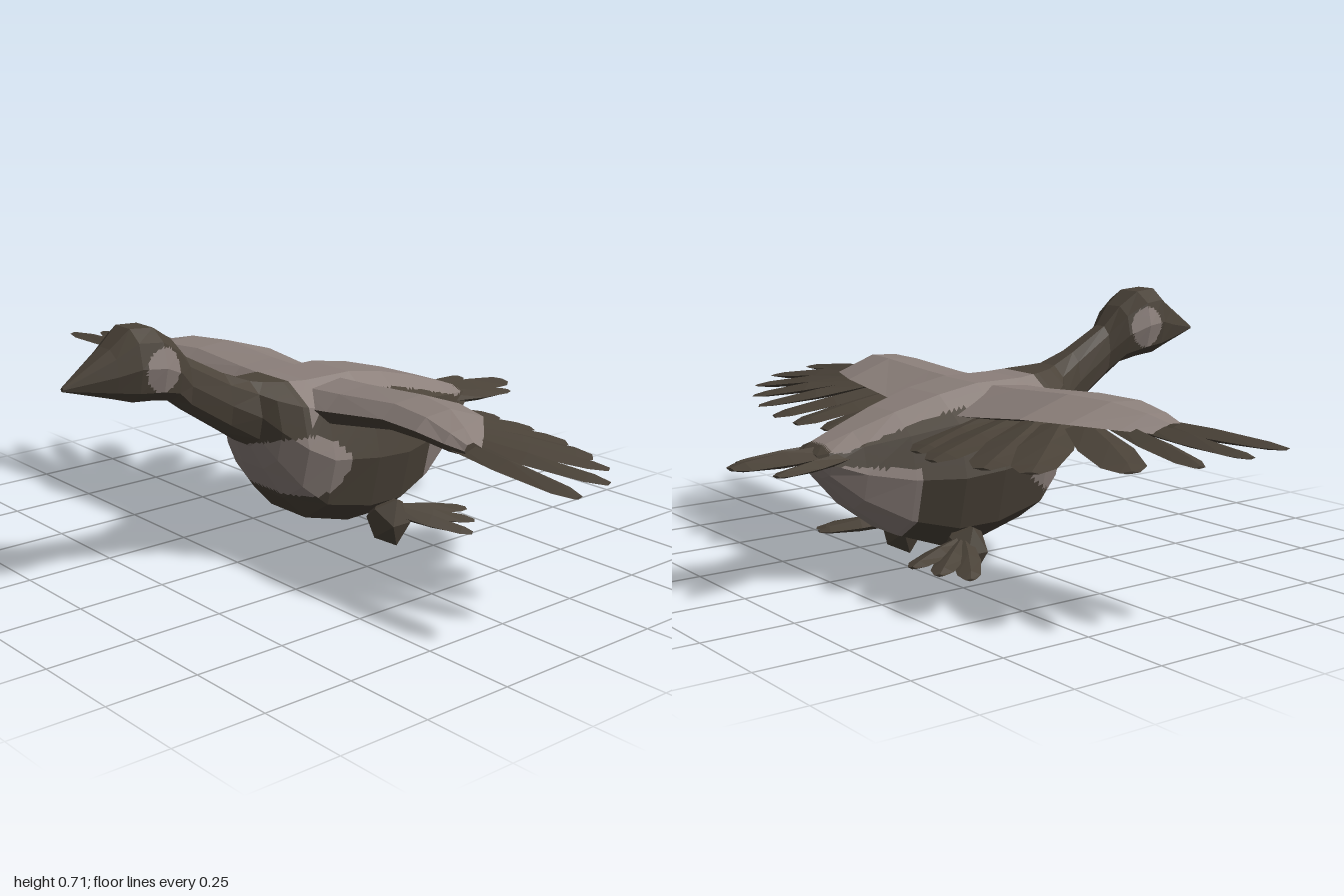
import * as THREE from 'three';

const V = (x, y, z) => new THREE.Vector3(x, y, z);
const darkPlumage = new THREE.MeshStandardMaterial({ color: 0x4a4238 });
const palePlumage = new THREE.MeshStandardMaterial({ color: 0x8b7f7a });
darkPlumage.name = 'darkPlumage';
palePlumage.name = 'palePlumage';

// Closed faceted skin through rings of points; returns outward-facing triangles.
function loft(rings) {
  const tris = [], n = rings[0].length;
  const mid = r => r.reduce((a, p) => a.add(p), V(0, 0, 0)).divideScalar(n);
  const first = rings[0], last = rings[rings.length - 1];
  for (let j = 0; j < n; j++) {
    const k = (j + 1) % n;
    for (let i = 0; i + 1 < rings.length; i++) {
      const a = rings[i], b = rings[i + 1];
      tris.push([a[j], a[k], b[j]], [a[k], b[k], b[j]]);
    }
    tris.push([mid(first), first[k], first[j]], [mid(last), last[j], last[k]]);
  }
  const volume = tris.reduce((s, [a, b, c]) => s + a.dot(b.clone().cross(c)), 0);
  return volume < 0 ? tris.map(([a, b, c]) => [a, c, b]) : tris;
}

// Splits each flat triangle in four.
function split(tris) {
  return tris.flatMap(([a, b, c]) => {
    const ab = a.clone().lerp(b, 0.5), bc = b.clone().lerp(c, 0.5), ca = c.clone().lerp(a, 0.5);
    return [[a, ab, ca], [ab, b, bc], [ca, bc, c], [ab, bc, ca]];
  });
}

// Flat-shaded mesh; isPale(centre, normal) picks the colour of each face.
function facetMesh(name, tris, isPale = () => false) {
  const sets = [[], []];
  for (const t of tris) {
    const centre = t[0].clone().add(t[1]).add(t[2]).divideScalar(3);
    const normal = new THREE.Triangle(...t).getNormal(V(0, 0, 0));
    sets[isPale(centre, normal) ? 1 : 0].push(...t);
  }
  const geo = new THREE.BufferGeometry().setFromPoints([...sets[0], ...sets[1]]);
  geo.addGroup(0, sets[0].length, 0);
  geo.addGroup(sets[0].length, sets[1].length, 1);
  geo.computeVertexNormals();
  const mesh = new THREE.Mesh(geo, [darkPlumage, palePlumage]);
  mesh.name = name;
  return mesh;
}

// Ridged flat blade from root to tip, used for feathers and toes.
function blade(name, root, tip, halfWidth, thick) {
  const dir = tip.clone().sub(root);
  const side = V(dir.z, 0, -dir.x).normalize();
  const rings = [[0, 0.7, 1], [0.5, 1, 1], [0.88, 0.8, 0.6], [1, 0.35, 0.2]].map(([t, w, h]) => {
    const p = root.clone().addScaledVector(dir, t);
    const at = (s, y) => p.clone().addScaledVector(side, s * w * halfWidth).add(V(0, y * h * thick, 0));
    return [at(-1, 0), at(0.15, 1), at(1, 0), at(0, -1)];
  });
  return facetMesh(name, loft(rings));
}

// Beak, head, neck and body: [z, bottom, top, half width]
const bodyProfile = [
  [0.775, 0.575, 0.585, 0.006], [0.65, 0.54, 0.665, 0.062], [0.595, 0.523, 0.71, 0.085],
  [0.53, 0.518, 0.705, 0.097], [0.47, 0.505, 0.665, 0.075], [0.42, 0.465, 0.61, 0.047],
  [0.3, 0.385, 0.545, 0.058], [0.225, 0.335, 0.515, 0.085], [0.195, 0.27, 0.51, 0.13],
  [0.14, 0.18, 0.505, 0.175], [0.07, 0.11, 0.5, 0.2], [-0.08, 0.07, 0.5, 0.21],
  [-0.2, 0.07, 0.48, 0.2], [-0.33, 0.115, 0.445, 0.16], [-0.45, 0.2, 0.405, 0.115],
  [-0.535, 0.29, 0.375, 0.08], [-0.56, 0.325, 0.36, 0.055],
];

function bodyMesh() {
  const soft = (v, e) => Math.sign(v) * Math.abs(v) ** e;
  const rings = bodyProfile.map(([z, lo, hi, w]) => Array.from({ length: 10 }, (_, i) => {
    const a = (i + 0.5) / 10 * Math.PI * 2;
    const flat = Math.cos(Math.PI / 10) ** 0.8;
    return V(w * soft(Math.sin(a), 0.85), (lo + hi) / 2 + (hi - lo) / 2 * soft(Math.cos(a), 0.8) / flat, z);
  }));
  const isPale = ({ x, y, z }) => {
    const cheek = Math.abs(x) > 0.05 && Math.hypot((z - 0.53) / 0.052, (y - 0.605) / 0.058) < 1;
    const back = y > 0.36 && z < 0.12 && z > -0.53 && Math.abs(x) < 0.15 + 0.13 * z;
    const chest = Math.hypot((z - 0.14) / 0.125, (y - 0.285) / 0.09) < 1;
    const rump = z < -0.31 && z > -0.55 && y < 0.33 - (z + 0.54) * 0.1;
    return cheek || back || chest || rump;
  };
  return facetMesh('body', split(split(split(loft(rings)))), isPale);
}

// Flight feather tips [x, y, z], outermost first, and shared roots [x, z]
const leftTips = [[1, 0.405, 0.035], [0.96, 0.395, -0.12], [0.87, 0.385, -0.23], [0.76, 0.375, -0.3],
  [0.62, 0.37, -0.36], [0.46, 0.365, -0.4], [0.32, 0.365, -0.41], [0.2, 0.365, -0.39]];
const rightTips = [[1, 0.445, 0.125], [0.99, 0.435, 0.02], [0.96, 0.425, -0.11], [0.84, 0.405, -0.21],
  [0.64, 0.385, -0.34], [0.48, 0.37, -0.36], [0.31, 0.365, -0.39], [0.2, 0.365, -0.36]];
const featherRoots = [[0.56, 0.045], [0.56, 0.01], [0.53, -0.03], [0.5, -0.06],
  [0.43, -0.08], [0.35, -0.08], [0.27, -0.08], [0.18, -0.08]];

function wing(side) {
  const g = new THREE.Group();
  g.name = side > 0 ? 'leftWing' : 'rightWing';
  const sweep = side > 0 ? 0 : 0.045;
  // Covert sections: [x, leading z, trailing z, top y, thickness]
  const rings = [[0.06, 0.12, -0.2, 0.49, 0.1], [0.2, 0.105, -0.19, 0.495, 0.09], [0.4, 0.09, -0.185, 0.508, 0.075],
    [0.53, 0.1, -0.14, 0.503, 0.065], [0.62, 0.09, -0.05, 0.482, 0.05], [0.675, 0.075, 0.015, 0.462, 0.03],
  ].map(([x, zl, zt, y, th]) => {
    const front = zl + sweep * Math.min(1, x / 0.5);
    const at = (t, h) => V(side * x, y - h * th, front + (zt - front) * t);
    return [at(0, 0.55), at(0.15, 0.1), at(0.5, 0), at(1, 0.65), at(0.5, 1), at(0.12, 1)];
  });
  g.add(facetMesh('wingCoverts', loft(rings), (c, n) => n.y > 0.1));
  (side > 0 ? leftTips : rightTips).forEach(([x, y, z], i) => {
    const [rx, rz] = featherRoots[i];
    const root = V(side * rx, 0.445 - 0.002 * i, rz + (i < 3 ? sweep : 0));
    g.add(blade('flightFeather', root, V(side * x, y, z), i < 3 ? 0.043 : 0.07, 0.016));
  });
  return g;
}

function foot(side) {
  const g = new THREE.Group();
  g.name = side > 0 ? 'leftFoot' : 'rightFoot';
  const ankle = new THREE.Mesh(new THREE.IcosahedronGeometry(1, 0), darkPlumage);
  ankle.name = 'ankle';
  ankle.geometry.scale(0.066, 0.08, 0.062);
  ankle.position.set(side * 0.15, 0.07, -0.17);
  g.add(ankle);
  for (const [x, y, z] of [[0.35, 0.055, -0.3], [0.3, 0.065, -0.36], [0.23, 0.075, -0.395]])
    g.add(blade('toe', V(side * 0.15, 0.095, -0.18), V(side * x, y, z), 0.038, 0.018));
  return g;
}

function tail() {
  const g = new THREE.Group();
  g.name = 'tail';
  g.add(blade('centreTailFeather', V(0, 0.35, -0.48), V(0, 0.34, -0.78), 0.066, 0.022));
  g.add(blade('leftTailFeather', V(0.06, 0.345, -0.48), V(0.08, 0.335, -0.72), 0.035, 0.016));
  g.add(blade('rightTailFeather', V(-0.06, 0.345, -0.48), V(-0.125, 0.335, -0.72), 0.038, 0.016));
  return g;
}

export function createModel() {
  const model = new THREE.Group();
  model.name = 'flyingBird';
  model.add(bodyMesh(), tail());
  for (const side of [1, -1]) model.add(wing(side), foot(side));
  return model;
}
